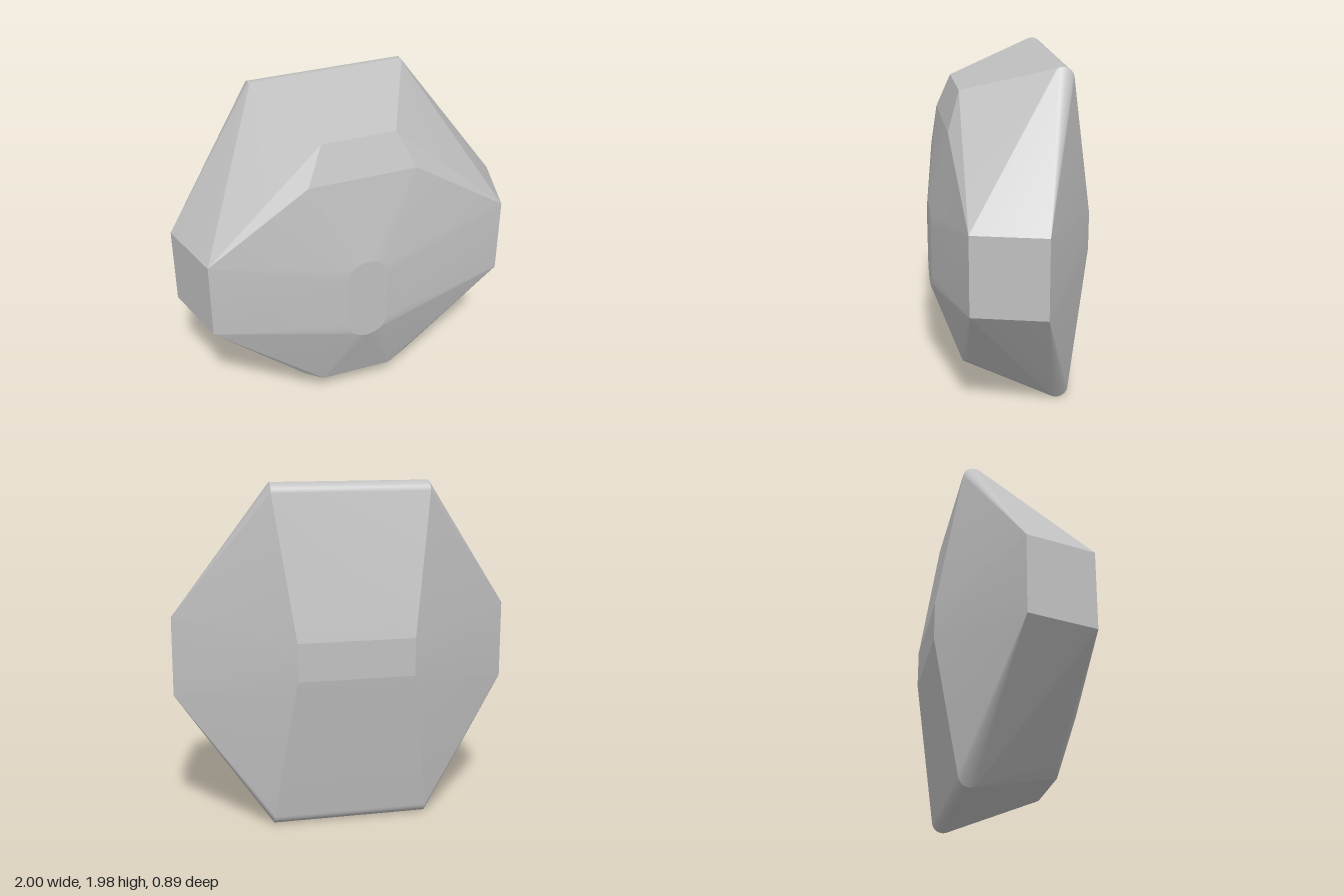
import * as THREE from 'three';
import { ConvexGeometry } from 'three/addons/geometries/ConvexGeometry.js';
import { toCreasedNormals } from 'three/addons/utils/BufferGeometryUtils.js';

export function createModel() {
  const grey = new THREE.MeshStandardMaterial({ color: 0xc0c0c0 });
  grey.name = 'stoneGrey';

  const points = [];
  const add = (x, y, z) => points.push(new THREE.Vector3(x, y, z));
  const addPair = (x, y, z) => { add(x, y, z); add(-x, y, z); };

  // Front facets, upper and lower
  addPair(0.215, 1.82, 0.28);
  addPair(0.315, 1.61, 0.355);
  addPair(0.215, 0.16, 0.28);
  addPair(0.33, 0.22, 0.262);

  // Flat side ends, leaning slightly
  for (const y of [0.76, 1.22]) {
    add(0.89, y, 0.32);
    add(1, y, -0.085);
    add(-0.89, y, 0.34);
    add(-1, y, -0.065);
  }

  // Flat band across the back
  for (const y of [0.89, 1.11]) addPair(0.34, y, -0.445);

  // Rounded top and bottom rims
  const rimRadius = 0.065, rimSteps = 40;
  for (let i = 0; i <= rimSteps; i++) {
    const a = (i / rimSteps) * Math.PI;
    const z = -0.25 + rimRadius * Math.cos(a);
    const rise = rimRadius * Math.sin(a);
    addPair(0.455, 1.915 + rise, z);
    addPair(0.455, 0.065 - rise, z);
  }

  // Small stadium-shaped flat on the front
  const bossRadius = 0.12, bossSteps = 24;
  for (let i = 0; i <= bossSteps; i++) {
    const a = (i / bossSteps) * Math.PI;
    const x = bossRadius * Math.cos(a), rise = bossRadius * Math.sin(a);
    add(x, 0.99 + rise, 0.445);
    add(x, 0.7 - rise, 0.445);
  }

  const body = new THREE.Mesh(toCreasedNormals(new ConvexGeometry(points), 0.1), grey);
  body.name = 'facetedBody';

  const model = new THREE.Group();
  model.name = 'facetedStone';
  model.add(body);
  return model;
}
